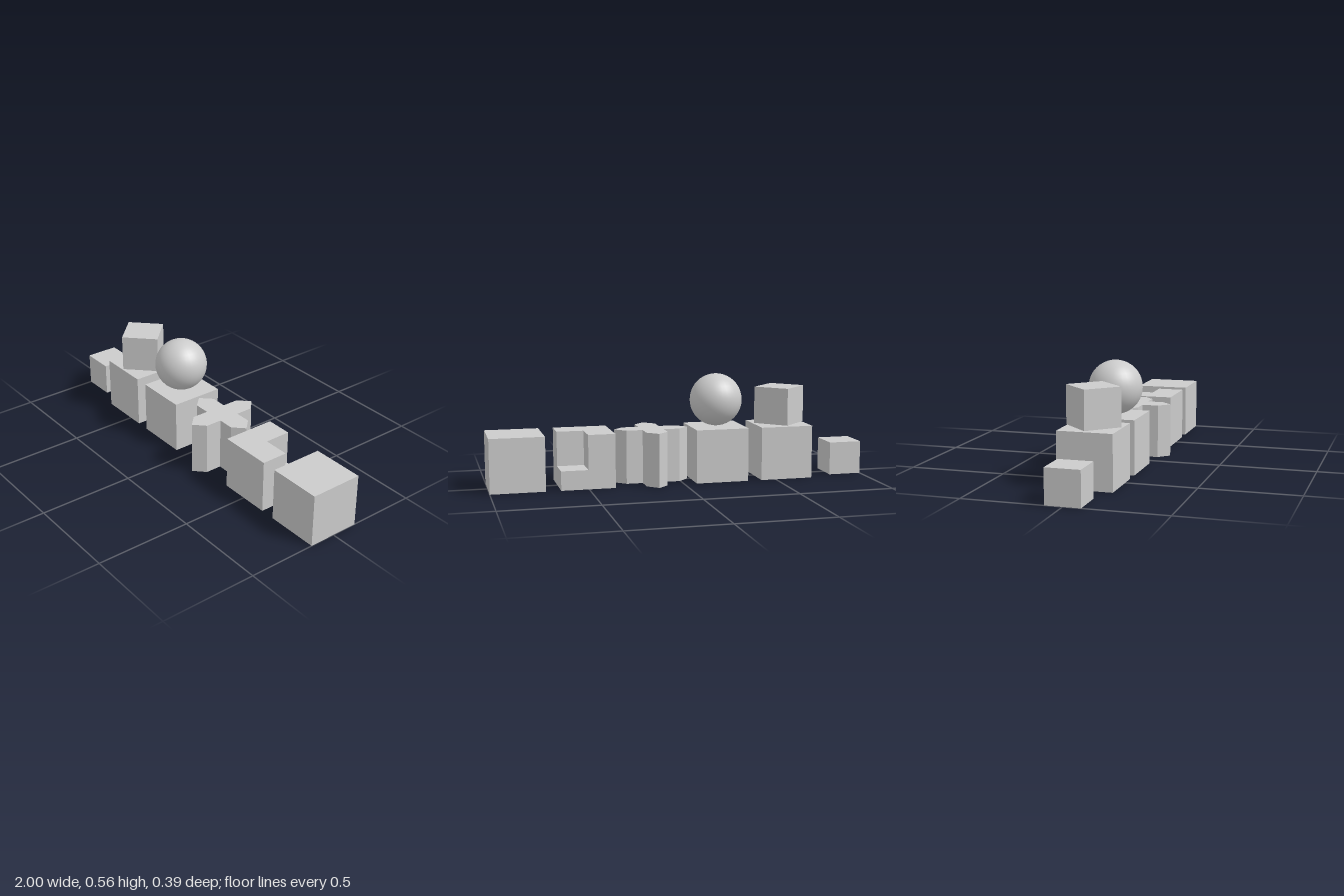
import * as THREE from 'three';

const S = 0.28; // side of the standard block

export function createModel() {
  const group = new THREE.Group();
  const material = new THREE.MeshStandardMaterial({ color: 0xcccccc });

  function add(name, geometry, x, y = 0, z = 0) {
    const mesh = new THREE.Mesh(geometry, material);
    mesh.name = name;
    mesh.position.set(x, y, z);
    group.add(mesh);
    return mesh;
  }

  // Box standing on height y
  function block(name, x, w, h = w, y = 0) {
    return add(name, new THREE.BoxGeometry(w, h, w), x, y + h / 2);
  }

  // Upright prism from a floor plan of [x, -z] points
  function prism(points, height) {
    const shape = new THREE.Shape(points.map(([x, y]) => new THREE.Vector2(x, y)));
    return new THREE.ExtrudeGeometry(shape, { depth: height, bevelEnabled: false }).rotateX(-Math.PI / 2);
  }

  // Plain blocks
  block('smallCube', -0.913, 0.175);
  block('turnedCubeBase', -0.56, S);
  block('ballBase', -0.206, S);
  block('endCube', 0.86, S);

  // Smaller cube turned on its corner line
  block('turnedCube', -0.56, 0.196, 0.196, 0.285).rotation.y = Math.PI / 4;

  // Ball resting on its block
  add('ball', new THREE.SphereGeometry(0.138, 32, 20), -0.206, 0.42);

  // Cross with four pointed arms
  const w = 0.056, shoulder = 0.142, tip = 0.197;
  const arm = [[w, -w], [shoulder, -w], [tip, 0], [shoulder, w]];
  const plan = [];
  for (let i = 0; i < 4; i++) {
    const a = i * Math.PI / 2, c = Math.cos(a), s = Math.sin(a);
    for (const [x, y] of arm) plan.push([x * c - y * s, x * s + y * c]);
  }
  add('pointedCross', prism(plan, S), 0.147);

  // Block with its back left upper corner cut away
  const h = S / 2, step = 0.1;
  const full = [[-h, -h], [h, -h], [h, h], [-h, h]];
  const cut = [[-h, -h], [h, -h], [h, 0], [0, 0], [0, h], [-h, h]];
  const notched = new THREE.Group();
  notched.name = 'notchedCube';
  notched.add(add('notchedCubeLower', prism(full, step), 0.503));
  notched.add(add('notchedCubeUpper', prism(cut, S - step), 0.503, step));
  group.add(notched);

  return group;
}
